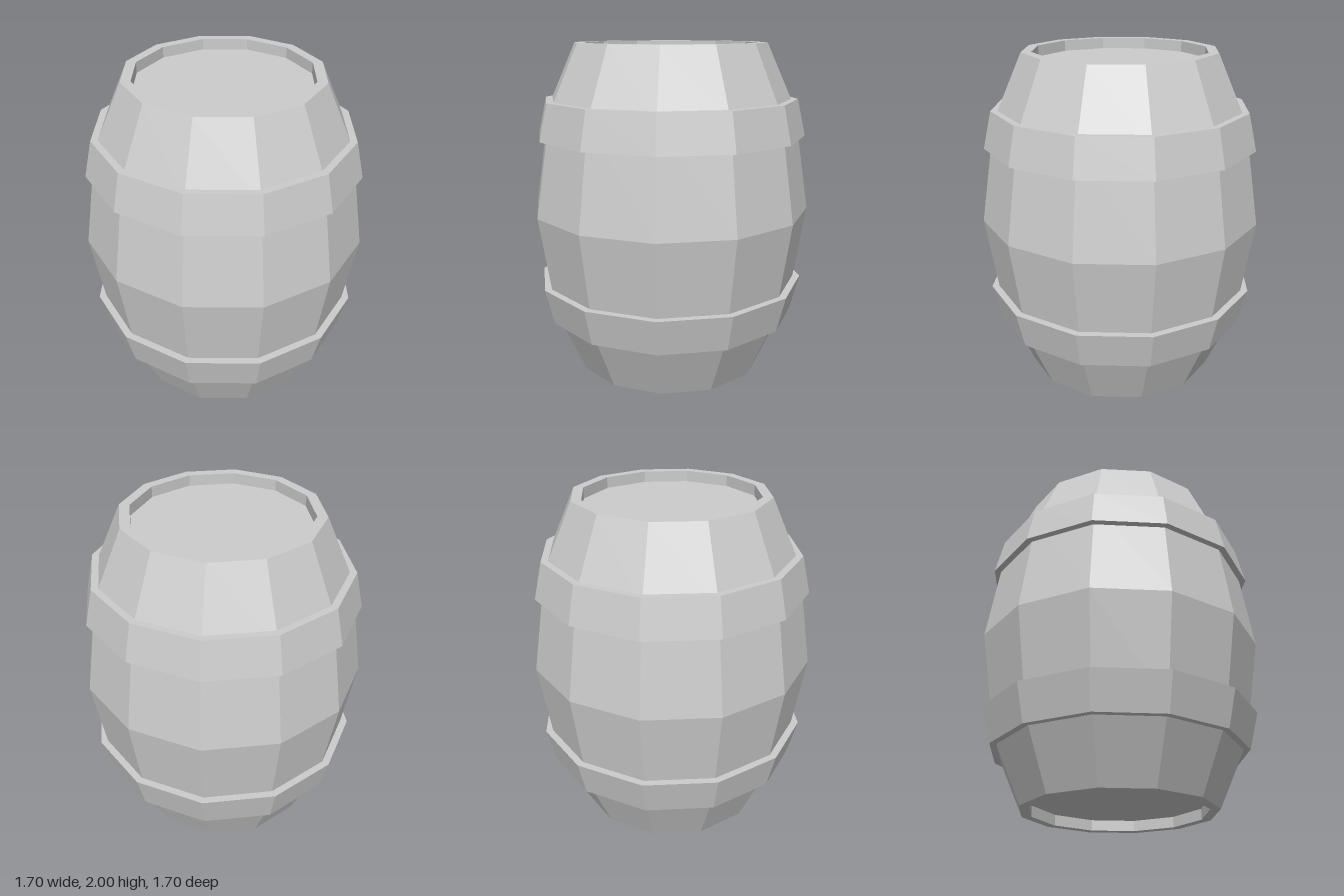
import * as THREE from 'three';

const SIDES = 12;

// Flat-shaded turned part from [radius, height] pairs, listed bottom to top on the outside
function turned(name, profile, material) {
  const points = profile.map(([r, y]) => new THREE.Vector2(r, y));
  const mesh = new THREE.Mesh(new THREE.LatheGeometry(points, SIDES), material);
  mesh.name = name;
  return mesh;
}

export function createModel() {
  const group = new THREE.Group();
  group.name = 'barrel';
  const material = new THREE.MeshStandardMaterial({ color: 0xcccccc, flatShading: true });
  const inset = 0.065, rimInner = 0.52;

  // Bulging staves with a raised rim at both ends
  group.add(turned('staves', [
    [rimInner, inset], [rimInner, 0], [0.58, 0], [0.755, 0.39], [0.85, 1],
    [0.755, 1.61], [0.58, 2], [rimInner, 2], [rimInner, 2 - inset],
  ], material));

  // Recessed end discs
  group.add(turned('bottomHead', [[0, inset], [rimInner, inset]], material));
  group.add(turned('topHead', [[rimInner, 2 - inset], [0, 2 - inset]], material));

  // Tapered hoops, wider towards the middle, with their inner edges sunk into the staves
  group.add(turned('lowerHoop', [
    [0.7, 0.335], [0.77, 0.335], [0.825, 0.555], [0.75, 0.555],
  ], material));
  group.add(turned('upperHoop', [
    [0.75, 1.45], [0.82, 1.45], [0.77, 1.67], [0.7, 1.67],
  ], material));

  return group;
}
